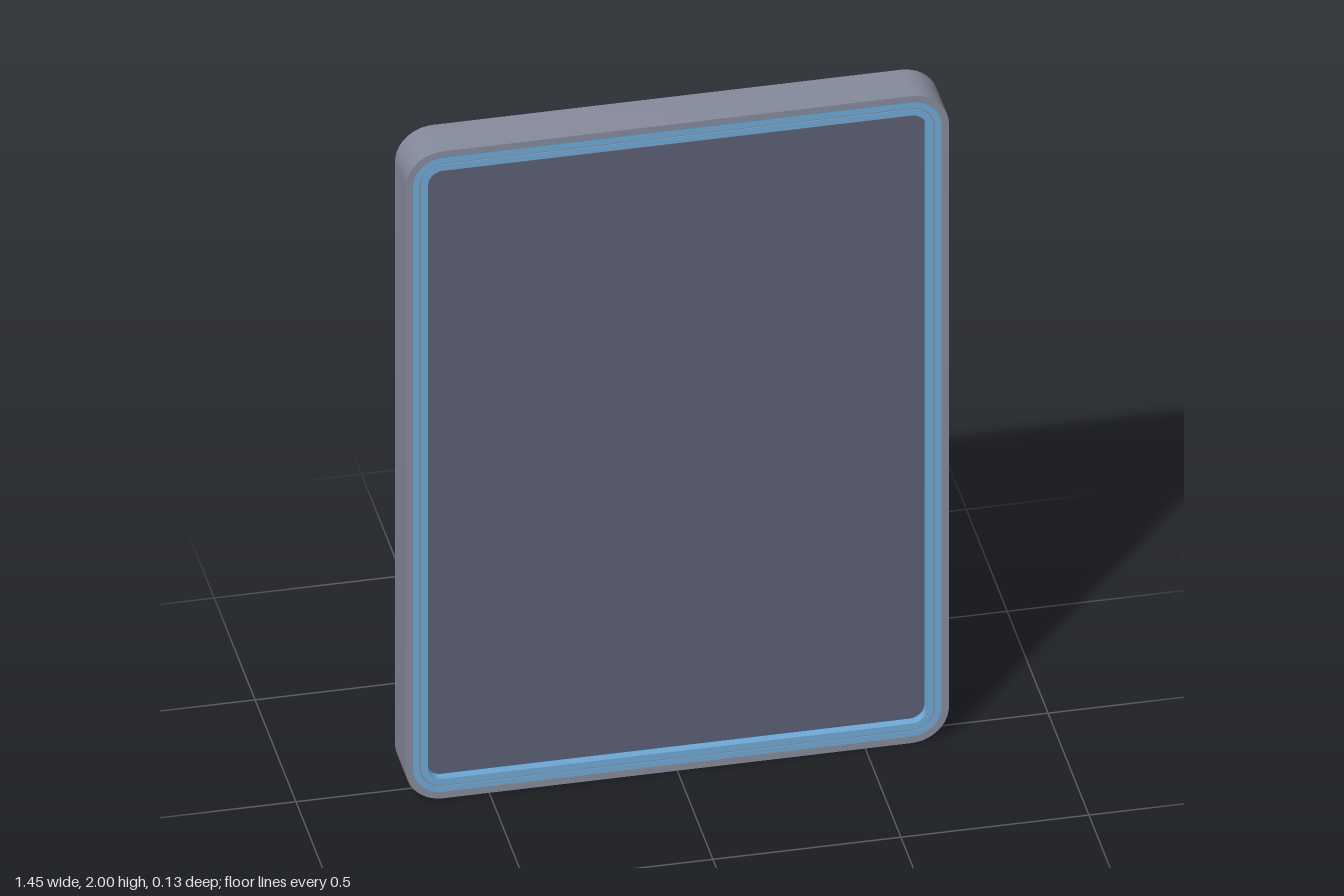
import * as THREE from 'three';
import { toCreasedNormals } from 'three/addons/utils/BufferGeometryUtils.js';

const W = 1.445, H = 2, R = 0.1, CY = 1;

// rounded rectangle outline, inset from the outer edge
function outline(inset, Type = THREE.Shape) {
  const x = W / 2 - inset, y = H / 2 - inset, r = Math.max(R - inset, 0.03);
  const p = new Type();
  p.moveTo(-x + r, -y);
  p.lineTo(x - r, -y);
  p.absarc(x - r, -y + r, r, -Math.PI / 2, 0);
  p.lineTo(x, y - r);
  p.absarc(x - r, y - r, r, 0, Math.PI / 2);
  p.lineTo(-x + r, y);
  p.absarc(-x + r, y - r, r, Math.PI / 2, Math.PI);
  p.lineTo(-x, -y + r);
  p.absarc(-x + r, -y + r, r, Math.PI, Math.PI * 1.5);
  return p;
}

// slab or ring between two insets, centred on z = 0
function slab(name, outer, inner, depth, material) {
  const shape = outline(outer);
  if (inner) shape.holes.push(outline(inner, THREE.Path));
  const geo = new THREE.ExtrudeGeometry(shape, { depth, bevelEnabled: false, curveSegments: 5 });
  geo.translate(0, CY, -depth / 2);
  const mesh = new THREE.Mesh(toCreasedNormals(geo, 0.6), material);
  mesh.name = name;
  return mesh;
}

export function createModel() {
  const frameGrey = new THREE.MeshStandardMaterial({ color: 0x858a9b });
  frameGrey.name = 'frame grey';
  const trimBlue = new THREE.MeshStandardMaterial({ color: 0x6fa8d6 });
  trimBlue.name = 'trim blue';
  const panelSlate = new THREE.MeshStandardMaterial({ color: 0x5a5f72 });
  panelSlate.name = 'panel slate';

  const model = new THREE.Group();
  model.name = 'framedPanel';
  model.add(
    // outer casing with nested trim rings showing on both faces
    slab('outerFrame', 0, 0.02, 0.13, frameGrey),
    slab('outerTrim', 0.02, 0.037, 0.13, trimBlue),
    slab('trimGroove', 0.037, 0.041, 0.126, frameGrey),
    slab('innerTrim', 0.041, 0.06, 0.13, trimBlue),
    // recessed panel, visible from front and back
    slab('panel', 0.05, 0, 0.08, panelSlate),
  );
  return model;
}
